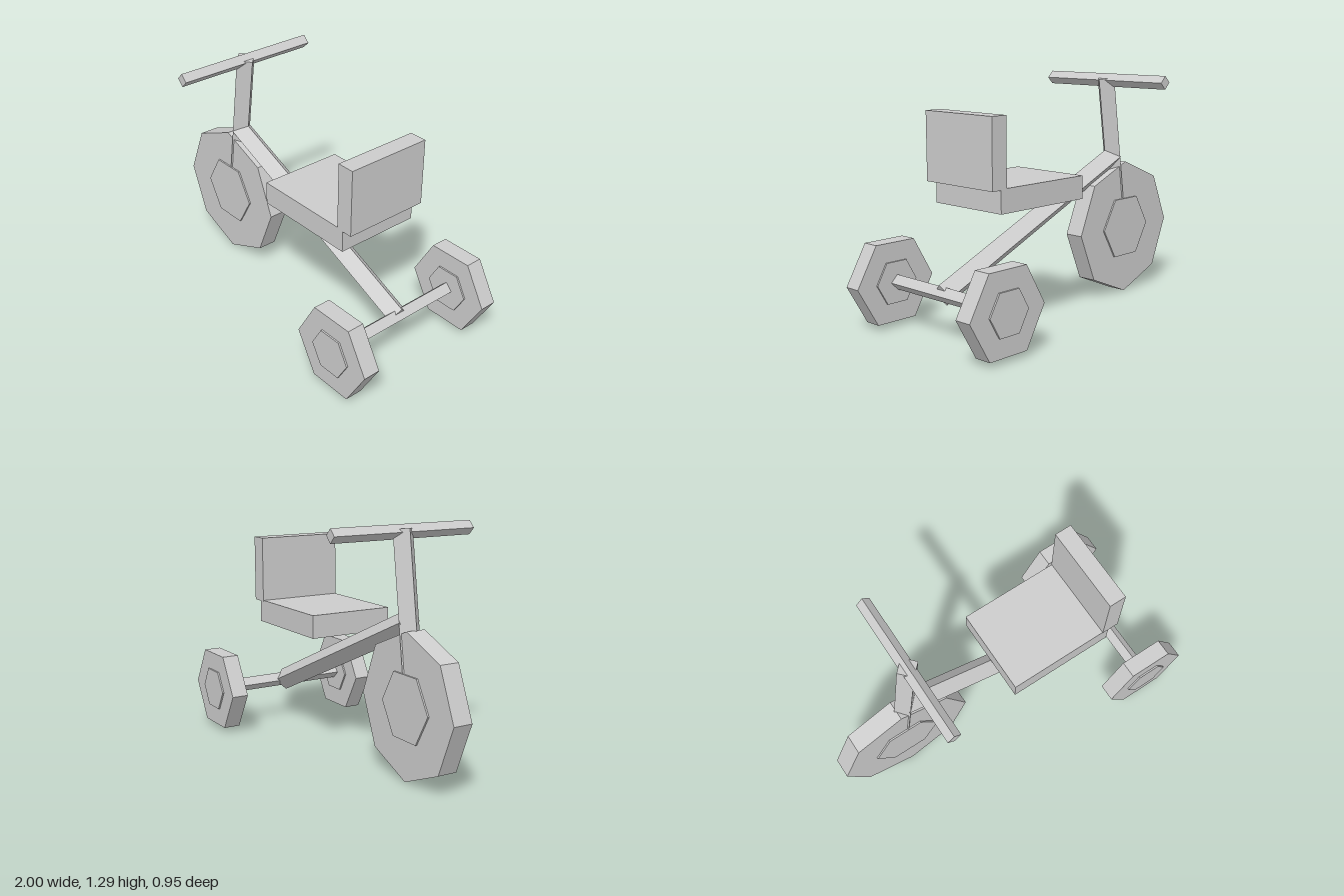
import * as THREE from 'three';

const grey = new THREE.MeshStandardMaterial({ color: 0xcccccc, flatShading: true });
grey.name = 'plain grey';

export function createModel() {
  const model = new THREE.Group();
  model.name = 'tricycle';

  const add = (name, geometry, x, y, z) => {
    const mesh = new THREE.Mesh(geometry, grey);
    mesh.name = name;
    mesh.position.set(x, y, z);
    model.add(mesh);
    return mesh;
  };

  // Four-sided bar, edge up, running between two points
  const bar = (name, from, to, radius) => {
    const a = new THREE.Vector3(...from), b = new THREE.Vector3(...to);
    const dir = b.clone().sub(a);
    const mid = a.clone().add(b).multiplyScalar(0.5);
    const mesh = add(name, new THREE.CylinderGeometry(radius, radius, dir.length(), 4), mid.x, mid.y, mid.z);
    mesh.quaternion.setFromUnitVectors(new THREE.Vector3(0, 1, 0), dir.normalize());
  };

  // Polygonal disc with its axis along z and a corner on +x
  const disc = (name, radius, width, sides, x, y, z) => {
    const geometry = new THREE.CylinderGeometry(radius, radius, width, sides, 1, false, Math.PI / 2);
    add(name, geometry.rotateX(Math.PI / 2), x, y, z);
  };

  // Front wheel
  disc('frontWheel', 0.387, 0.11, 8, -0.613, 0.388, 0);
  disc('frontHub', 0.195, 0.128, 6, -0.613, 0.39, 0);

  // Rear wheels
  for (const [side, s] of [['left', -1], ['right', 1]]) {
    disc(side + 'RearWheel', 0.245, 0.095, 6, 0.754, 0.242, s * 0.417);
    disc(side + 'RearHub', 0.127, 0.113, 6, 0.754, 0.242, s * 0.417);
  }

  // Frame, fork with stem, axle and handlebar
  bar('frame', [-0.56, 0.81, 0], [0.753, 0.238, 0], 0.063);
  bar('forkAndStem', [-0.613, 0.39, 0], [-0.494, 1.265, 0], 0.061);
  bar('rearAxle', [0.752, 0.242, -0.417], [0.752, 0.242, 0.417], 0.04);
  bar('handlebar', [-0.495, 1.252, -0.417], [-0.495, 1.252, 0.417], 0.037);

  // Seat and backrest
  add('seat', new THREE.BoxGeometry(0.6, 0.125, 0.48), 0.278, 0.717, 0);
  add('backrest', new THREE.BoxGeometry(0.097, 0.364, 0.484), 0.589, 0.956, 0);

  return model;
}
